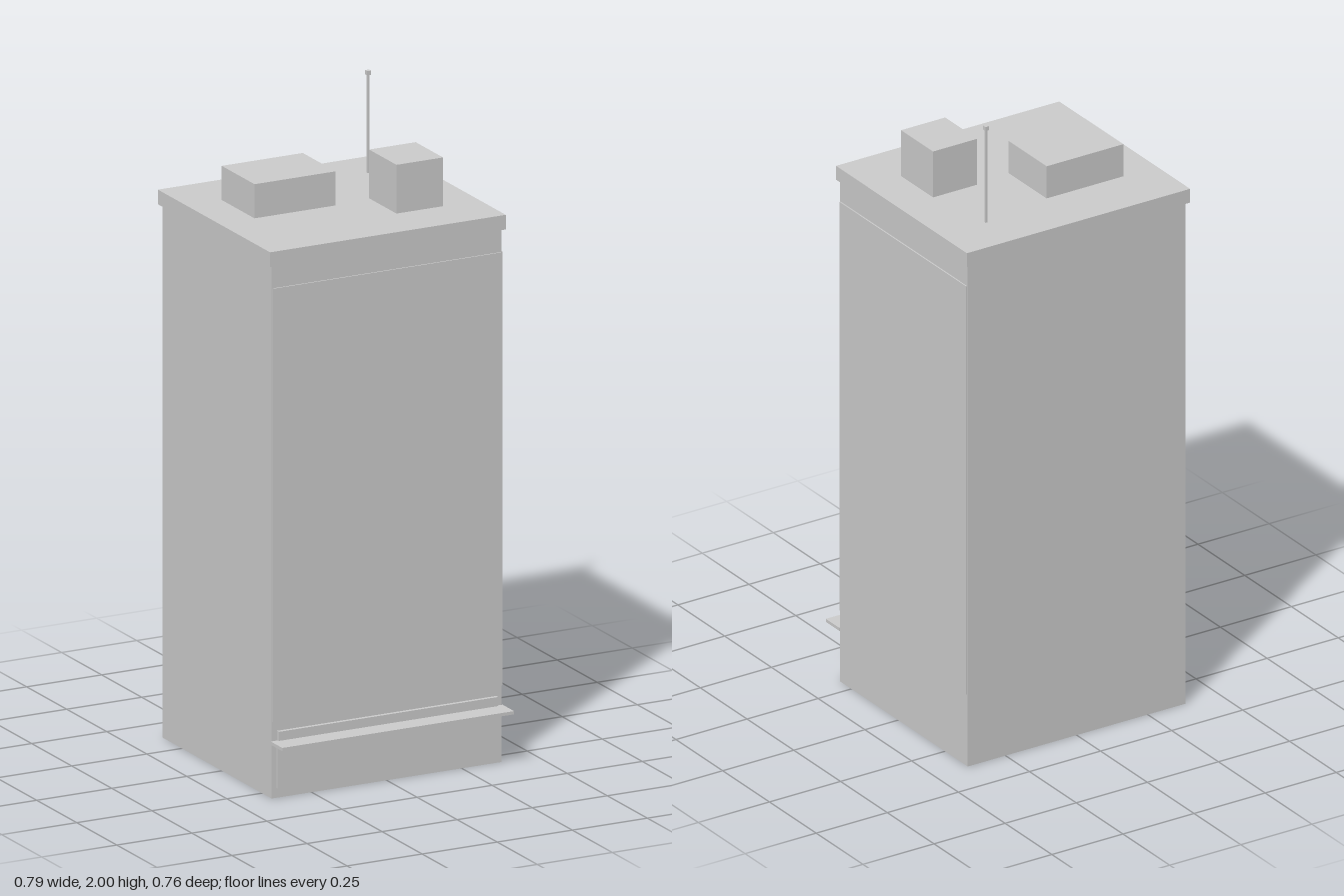
import * as THREE from 'three';

export function createModel() {
  const model = new THREE.Group();
  model.name = 'towerBlock';
  const grey = new THREE.MeshStandardMaterial({ color: 0xcccccc });
  grey.name = 'plain grey';

  // box given by its [min, max] on each axis
  const box = (name, [x0, x1], [y0, y1], [z0, z1]) => {
    const mesh = new THREE.Mesh(new THREE.BoxGeometry(x1 - x0, y1 - y0, z1 - z0), grey);
    mesh.position.set((x0 + x1) / 2, (y0 + y1) / 2, (z0 + z1) / 2);
    mesh.name = name;
    model.add(mesh);
  };

  // tower and overhanging roof slab
  const front = 0.31, back = -0.372, side = 0.383;
  box('towerBody', [-side, side], [0, 1.645], [back, front]);
  box('roofSlab', [-0.3925, 0.3925], [1.64, 1.685], [-0.382, 0.318]);

  // thin facade panels on the front and the left side
  box('frontWindowPanel', [-0.38, 0.38], [0.235, 1.57], [front, front + 0.004]);
  box('sideWindowPanel', [side, side + 0.004], [0.235, 1.57], [back + 0.003, front - 0.003]);

  // street level: shopfront, canopy and blank sign band
  box('shopfront', [-0.366, 0.366], [0.03, 0.165], [front, front + 0.004]);
  box('canopy', [-0.386, 0.386], [0.166, 0.176], [front, 0.382]);
  box('signBand', [-0.365, 0.365], [0.178, 0.206], [front, 0.322]);

  // rooftop equipment
  box('plantRoom', [-0.275, -0.005], [1.685, 1.79], [-0.204, 0.001]);
  box('liftHousing', [0.115, 0.27], [1.685, 1.835], [-0.015, 0.156]);
  box('antennaMast', [0.2275, 0.2345], [1.685, 1.988], [-0.2425, -0.2355]);
  box('antennaTip', [0.2245, 0.2375], [1.987, 2], [-0.2455, -0.2325]);

  return model;
}
